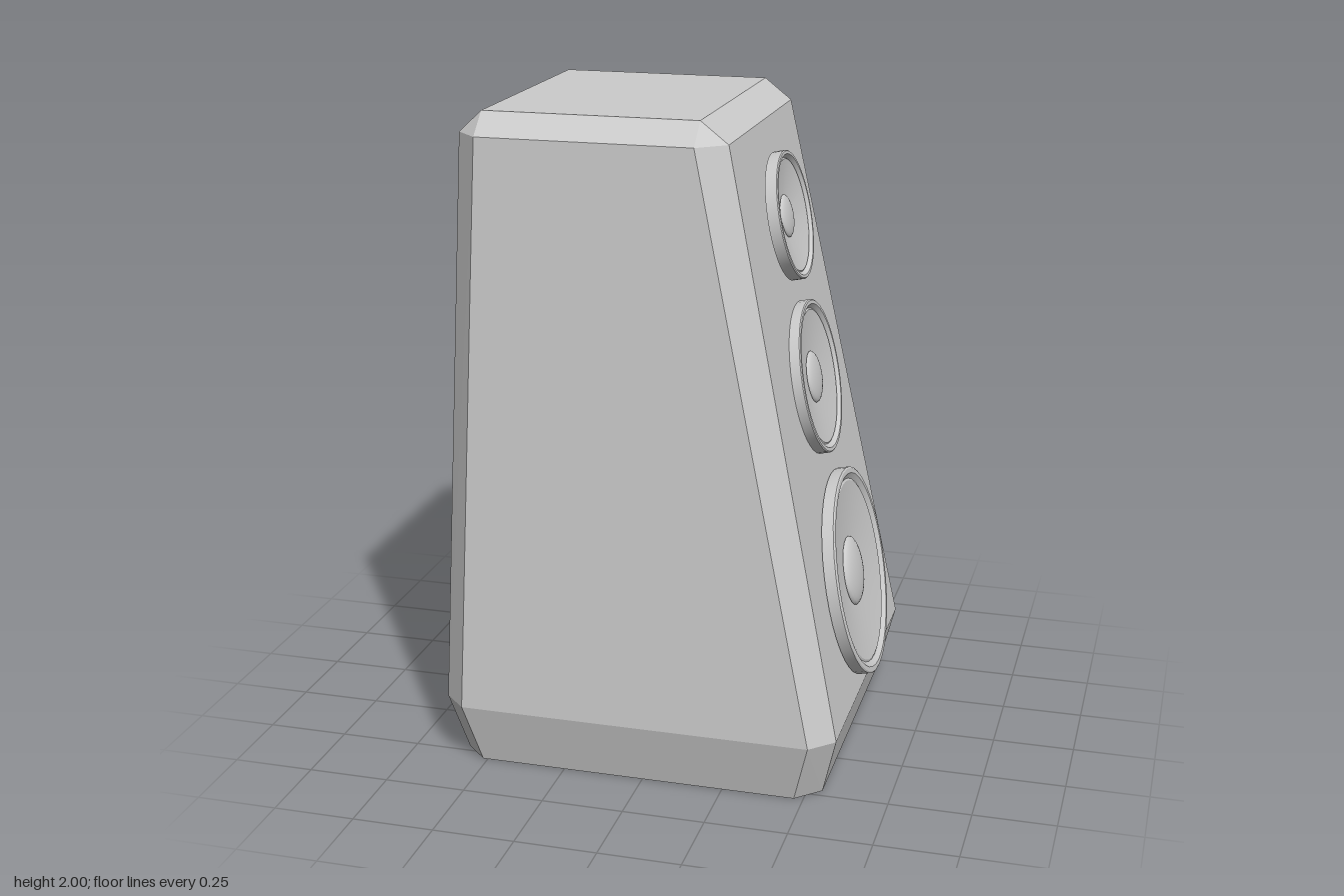
import * as THREE from 'three';
import { ConvexGeometry } from 'three/addons/geometries/ConvexGeometry.js';
import { toCreasedNormals } from 'three/addons/utils/BufferGeometryUtils.js';

const material = new THREE.MeshStandardMaterial({ color: 0xcccccc });

function part(name, geometry) {
  const mesh = new THREE.Mesh(geometry, material);
  mesh.name = name;
  return mesh;
}

// Tapered box with chamfered edges, the hull of its level outlines
function cabinet() {
  // y, back x, back chamfer x, baffle chamfer x, baffle x, half width z, chamfer z
  const levels = [
    [0, -0.585, -0.515, 0.472, 0.545, 0.54, 0.47],
    [0.19, -0.634, -0.563, 0.52, 0.592, 0.585, 0.515],
    [1.935, -0.58, -0.51, 0.142, 0.225, 0.47, 0.4],
  ];
  const points = [];
  for (const s of [-1, 1]) {
    for (const [y, back, backIn, frontIn, front, z, zIn] of levels) {
      points.push(
        new THREE.Vector3(back, y, s * zIn), new THREE.Vector3(backIn, y, s * z),
        new THREE.Vector3(frontIn, y, s * z), new THREE.Vector3(front, y, s * zIn),
      );
    }
    points.push(new THREE.Vector3(-0.51, 2, s * 0.4), new THREE.Vector3(0.142, 2, s * 0.4));
  }
  return part('cabinet', new ConvexGeometry(points));
}

// Driver along local +y: rim ring, shallow cone and flattened dust cap
function driver(name, radius, base, front, capRadius) {
  const group = new THREE.Group();
  group.name = name;
  const floor = base + 0.004;
  const lathe = (pts) => toCreasedNormals(
    new THREE.LatheGeometry(pts.map(([x, y]) => new THREE.Vector2(x, y)), 40), 0.5);

  group.add(part('rim', lathe([
    [0, base], [radius, base], [radius, front - 0.003], [radius * 0.985, front],
    [radius * 0.94, front], [radius * 0.92, front - 0.005], [radius * 0.89, front - 0.012],
  ])));
  group.add(part('cone', lathe([
    [radius * 0.89, front - 0.012], [radius * 0.87, front - 0.009],
    [capRadius * 0.9, floor], [0, floor],
  ])));

  const cap = new THREE.SphereGeometry(capRadius, 24, 8, 0, Math.PI * 2, 0, Math.PI / 2);
  cap.scale(1, 0.25, 1);
  cap.translate(0, floor + 0.003, 0);
  group.add(part('dustCap', cap));
  return group;
}

export function createModel() {
  const model = new THREE.Group();
  model.name = 'loudspeaker';
  model.add(cabinet());

  // Drivers stand on the sloping baffle, which faces +x
  const tilt = Math.atan2(0.367, 1.745);
  const drivers = [
    ['tweeter', 1.648, 0.195, 0.012, 0.05, 0.065],
    ['midrange', 1.153, 0.237, 0, 0.034, 0.08],
    ['woofer', 0.527, 0.325, 0.004, 0.043, 0.109],
  ];
  for (const [name, y, radius, base, front, cap] of drivers) {
    const d = driver(name, radius, base, front, cap);
    d.position.set(0.592 - (y - 0.19) * Math.tan(tilt), y, 0);
    d.rotation.z = tilt - Math.PI / 2;
    model.add(d);
  }
  return model;
}
